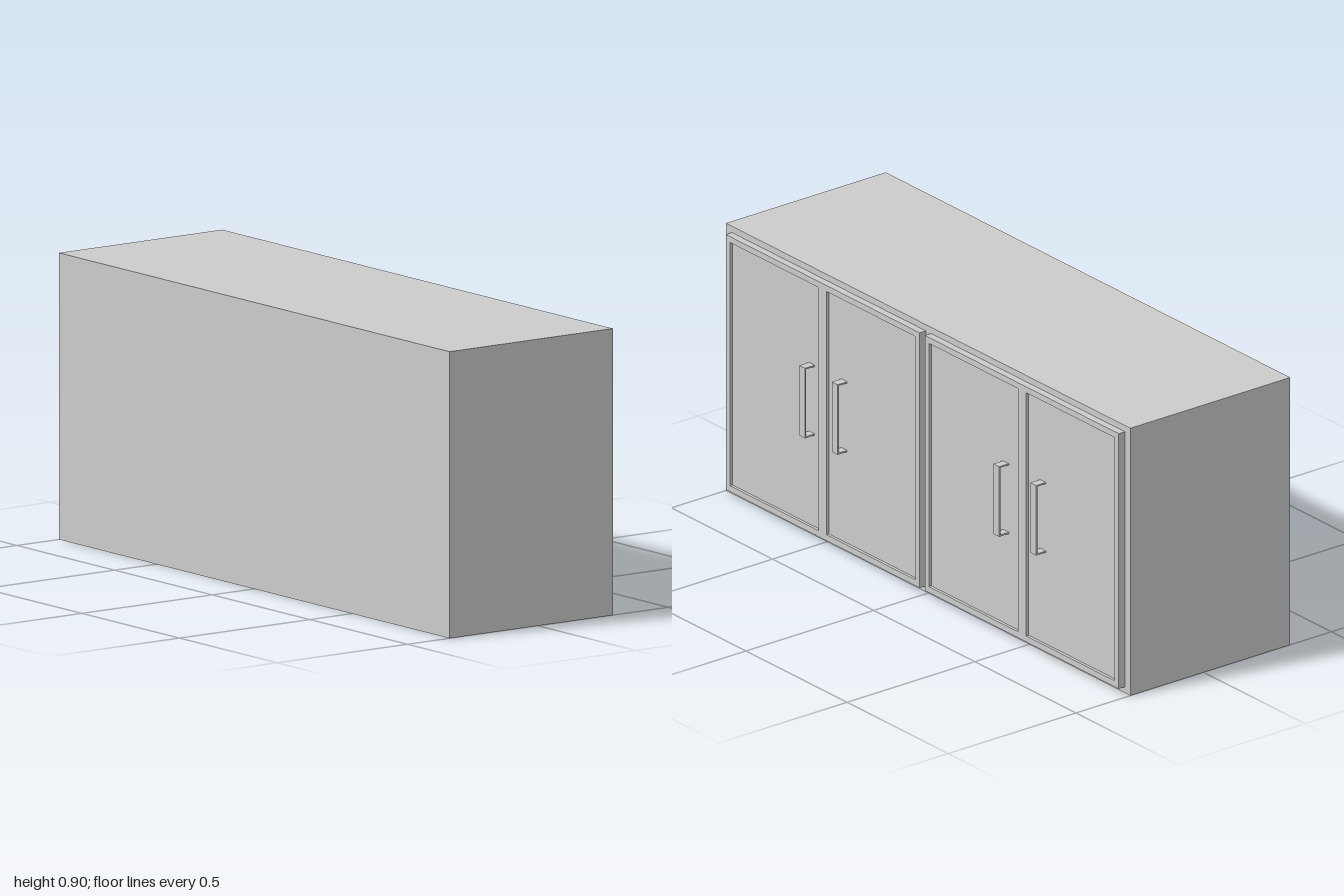
import * as THREE from 'three';

const material = new THREE.MeshStandardMaterial({ color: 0xcccccc, flatShading: true });

// Box given by its extents on each axis
function box(name, [x0, x1], [y0, y1], [z0, z1]) {
  const mesh = new THREE.Mesh(new THREE.BoxGeometry(x1 - x0, y1 - y0, z1 - z0), material);
  mesh.position.set((x0 + x1) / 2, (y0 + y1) / 2, (z0 + z1) / 2);
  mesh.name = name;
  return mesh;
}

const BACK = -0.287, PANEL = -0.301, FACE = -0.311, GRIP = -0.339;
const BOTTOM = 0.02, TOP = 0.875, BORDER = 0.02;

function rectangle(target, x0, x1, y0, y1) {
  target.moveTo(x0, y0);
  target.lineTo(x1, y0);
  target.lineTo(x1, y1);
  target.lineTo(x0, y1);
  target.closePath();
  return target;
}

// Raised border around a recessed panel
function createDoor(x0, x1) {
  const door = new THREE.Group();
  door.name = 'door';
  const outline = rectangle(new THREE.Shape(), x0, x1, BOTTOM, TOP);
  outline.holes.push(rectangle(new THREE.Path(), x0 + BORDER, x1 - BORDER, BOTTOM + BORDER, TOP - BORDER));
  const frame = new THREE.Mesh(
    new THREE.ExtrudeGeometry(outline, { depth: BACK - FACE, bevelEnabled: false }), material);
  frame.position.z = FACE;
  frame.name = 'doorFrame';
  door.add(frame, box('doorPanel', [x0 + BORDER, x1 - BORDER], [BOTTOM + BORDER, TOP - BORDER], [PANEL, BACK]));
  return door;
}

// Flat upright bar on two thin brackets
function createHandle(x) {
  const handle = new THREE.Group();
  handle.name = 'handle';
  const width = [x - 0.014, x + 0.014], y0 = 0.346, y1 = 0.581, t = 0.005;
  handle.add(
    box('handleBar', width, [y0, y1], [GRIP, GRIP + t]),
    box('lowerBracket', width, [y0, y0 + t], [GRIP + t, PANEL]),
    box('upperBracket', width, [y1 - t, y1], [GRIP + t, PANEL]));
  return handle;
}

export function createModel() {
  const model = new THREE.Group();
  model.name = 'cabinet';
  model.add(box('cabinetBody', [-1, 1], [0, 0.896], [BACK, 0.339]));

  // Four doors in two pairs, each with its handle position
  const doors = [
    [-0.973, -0.495, -0.586],
    [-0.495, -0.014, -0.403],
    [0.011, 0.492, 0.396],
    [0.492, 0.97, 0.557],
  ];
  for (const [x0, x1, handleX] of doors) model.add(createDoor(x0, x1), createHandle(handleX));
  return model;
}
